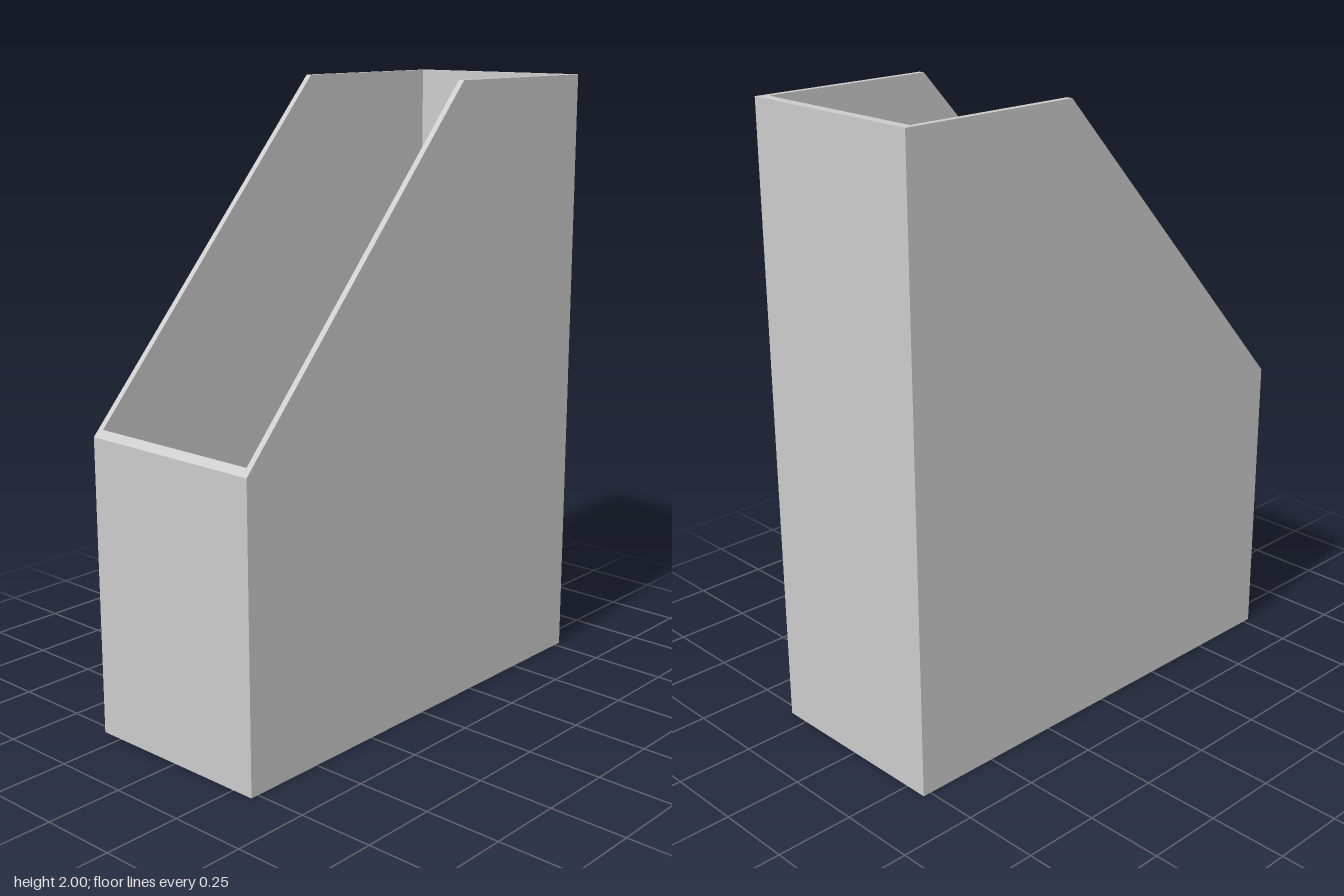
import * as THREE from 'three';

const FLOOR = 0.02;
const MID_Z = -0.165; // where the slanted rim meets the level rim

// Rim height at depth z: level at the back, slanting down to the front
const rimY = (z) => (z <= MID_Z ? 2 : 2 - ((z - MID_Z) * 1.04) / (0.777 - MID_Z));

// Six-point rectangular loop, counter-clockwise from above
function loop(x, front, back, height) {
  return [[x, front], [x, MID_Z], [x, back], [-x, back], [-x, MID_Z], [-x, front]]
    .map(([px, pz]) => [px, height(pz), pz]);
}

// Open-topped box: outer walls, rim, inner walls, floor and underside
function holderGeometry() {
  const outer = [0.325, 0.777, -0.777];
  const inner = [0.305, 0.757, -0.744];
  const rings = [
    loop(...outer, () => 0),
    loop(...outer, rimY),
    loop(...inner, rimY),
    loop(...inner, () => FLOOR),
  ];
  const pos = [];
  const quad = (a, b, c, d) => pos.push(...a, ...b, ...c, ...a, ...c, ...d);

  for (let r = 0; r < 3; r++) {
    const lo = rings[r], hi = rings[r + 1];
    for (let i = 0; i < 6; i++) {
      const j = (i + 1) % 6;
      quad(lo[i], lo[j], hi[j], hi[i]);
    }
  }
  const [under, , , floor] = rings;
  for (const [a, b, c, d] of [[0, 1, 4, 5], [1, 2, 3, 4]]) {
    quad(floor[a], floor[b], floor[c], floor[d]);
    quad(under[d], under[c], under[b], under[a]);
  }

  const geo = new THREE.BufferGeometry();
  geo.setAttribute('position', new THREE.Float32BufferAttribute(pos, 3));
  geo.computeVertexNormals();
  return geo;
}

export function createModel() {
  const group = new THREE.Group();
  group.name = 'magazineHolder';
  const material = new THREE.MeshStandardMaterial({ color: 0xcccccc, flatShading: true });
  const holder = new THREE.Mesh(holderGeometry(), material);
  holder.name = 'holderShell';
  group.add(holder);
  return group;
}
